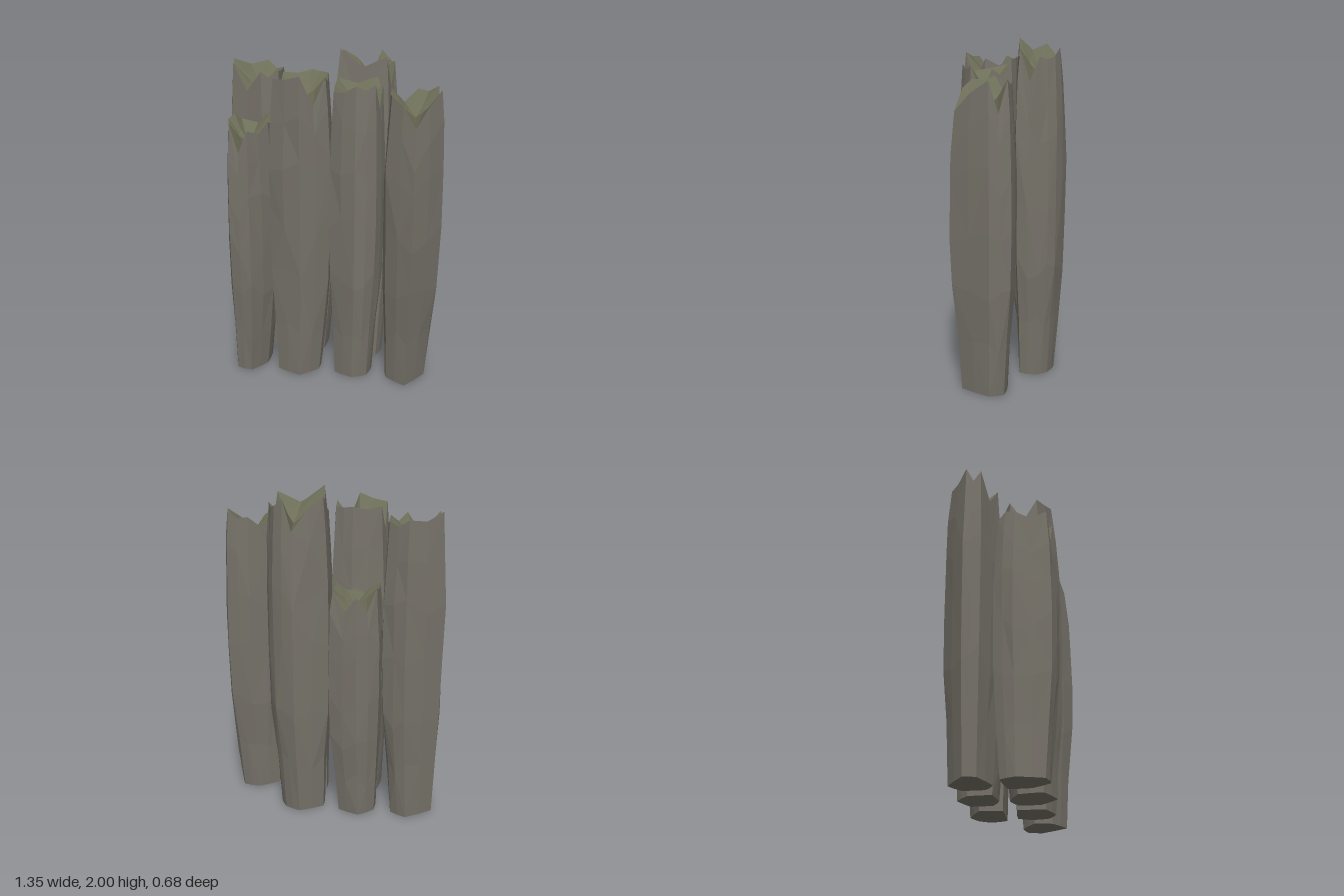
import * as THREE from 'three';

// Each column: peak height, depth of the break, rim points broken down to that depth,
// and six outline corners [x, z]. Corner 0 carries the highest peak.
const COLUMNS = [
  { name: 'backColumnRight', top: 1.89, notch: 0.17, broken: [9], corners: [
    [-0.67, -0.2], [-0.45, -0.34], [-0.32, -0.26], [-0.32, -0.08], [-0.43, -0.01], [-0.65, -0.1]] },
  { name: 'backColumnBroken', top: 1.45, notch: 0.14, broken: [5, 7], corners: [
    [-0.12, 0], [-0.31, -0.03], [-0.3, -0.22], [-0.17, -0.32], [0, -0.24], [-0.01, -0.06]] },
  { name: 'backColumnTall', top: 2, notch: 0.22, broken: [9, 4], corners: [
    [0.01, -0.03], [0, -0.22], [0.2, -0.32], [0.32, -0.26], [0.37, -0.16], [0.33, -0.03]] },
  { name: 'frontColumnRight', top: 1.64, notch: 0.2, broken: [5], corners: [
    [-0.33, -0.01], [-0.33, 0.17], [-0.44, 0.32], [-0.57, 0.29], [-0.63, 0.08], [-0.57, -0.04]] },
  { name: 'frontColumnMidRight', top: 1.9, notch: 0.18, broken: [11, 3], corners: [
    [-0.14, 0.3], [-0.34, 0.21], [-0.31, 0.01], [-0.12, -0.07], [0, -0.02], [0.01, 0.16]] },
  { name: 'frontColumnMidLeft', top: 1.86, notch: 0.15, broken: [11], corners: [
    [0.3, 0.24], [0.18, 0.3], [0.02, 0.23], [0.01, 0], [0.28, -0.02], [0.33, 0.1]] },
  { name: 'frontColumnLeft', top: 1.82, notch: 0.18, broken: [4, 1], corners: [
    [0.64, 0], [0.67, 0.12], [0.52, 0.34], [0.35, 0.23], [0.33, 0.08], [0.5, -0.03]] },
];

// Share of the rim height, and share of the widest outline
const PROFILE = [[0, 0.72], [0.17, 0.82], [0.36, 0.96], [0.56, 1], [0.74, 1], [0.88, 0.94], [1, 0.85]];

const stone = new THREE.MeshStandardMaterial({ color: 0x77736a, flatShading: true });
const moss = new THREE.MeshStandardMaterial({ color: 0x6d6e58, flatShading: true });

// Small repeatable roughness in -1..1
const rough = (a, b, c) => {
  const s = Math.sin(a * 12.99 + b * 78.23 + c * 37.7) * 43758.5;
  return (s - Math.floor(s)) * 2 - 1;
};

function facets(points, faces, material, name) {
  const g = new THREE.BufferGeometry();
  g.setAttribute('position', new THREE.Float32BufferAttribute(points.flat(), 3));
  g.setIndex(faces.flat());
  const flat = g.toNonIndexed();
  flat.computeVertexNormals();
  const mesh = new THREE.Mesh(flat, material);
  mesh.name = name;
  return mesh;
}

function column({ name, top, notch, broken, corners }, k) {
  const cx = corners.reduce((s, p) => s + p[0], 0) / corners.length;
  const cz = corners.reduce((s, p) => s + p[1], 0) / corners.length;
  const footZ = cz > 0 ? 0.13 : -0.155;

  // Corners and the points half way between them, with uneven rim heights
  const n = corners.length * 2;
  const rim = Array.from({ length: n }, (_, i) => {
    const [x, z] = corners[i >> 1];
    const [nx, nz] = corners[((i + 1) >> 1) % corners.length];
    const bulge = i % 2 ? 1.04 : 1;
    let drop = i % 2 ? 0.35 + 0.2 * rough(k, i, 7) : 0.2 + 0.2 * rough(k, i, 3);
    if (i === 0) drop = 0;
    if (broken.includes(i)) drop = 1;
    return [cx + ((x + nx) / 2 - cx) * bulge, cz + ((z + nz) / 2 - cz) * bulge, top - notch * drop];
  });

  // Rings from the narrow foot to the jagged rim
  const rings = PROFILE.map(([t, w], r) => rim.map(([x, z, h], i) => {
    const inner = r > 0 && r < PROFILE.length - 1;
    const scale = w + (inner ? 0.03 * rough(k, r, i) : 0);
    const lean = Math.max(0, 1 - t * 2.5);
    return [
      cx - 0.02 * lean + (x - cx) * scale,
      h * t + (inner ? 0.06 * rough(i, k, r) : 0),
      cz + (footZ - cz) * lean + (z - cz) * scale,
    ];
  }));

  // Shaft with a closed foot
  const faces = [];
  for (let r = 0; r < rings.length - 1; r++) {
    for (let i = 0; i < n; i++) {
      const a = r * n + i, b = r * n + (i + 1) % n, c = a + n, d = b + n;
      if ((i + r) % 2) faces.push([a, c, b], [b, c, d]);
      else faces.push([a, c, d], [a, d, b]);
    }
  }
  for (let i = 1; i < n - 1; i++) faces.push([0, i, i + 1]);

  // Mossy hollow inside the rim
  const dip = top - notch * 0.9;
  const edge = rings[rings.length - 1];
  const hollow = edge.map(([x, y, z]) => [
    cx + (x - cx) * 0.5, dip + (y - dip) * 0.4, cz + (z - cz) * 0.5]);
  const capFaces = [];
  for (let i = 0; i < n; i++) {
    const j = (i + 1) % n;
    capFaces.push([i, n + i, j], [j, n + i, n + j], [n + i, 2 * n, n + j]);
  }

  const group = new THREE.Group();
  group.name = name;
  group.add(facets(rings.flat(), faces, stone, 'shaft'));
  group.add(facets([...edge, ...hollow, [cx, dip, cz]], capFaces, moss, 'mossyTop'));
  return group;
}

export function createModel() {
  const model = new THREE.Group();
  model.name = 'rockColumns';
  COLUMNS.forEach((c, k) => model.add(column(c, k + 1)));
  return model;
}
